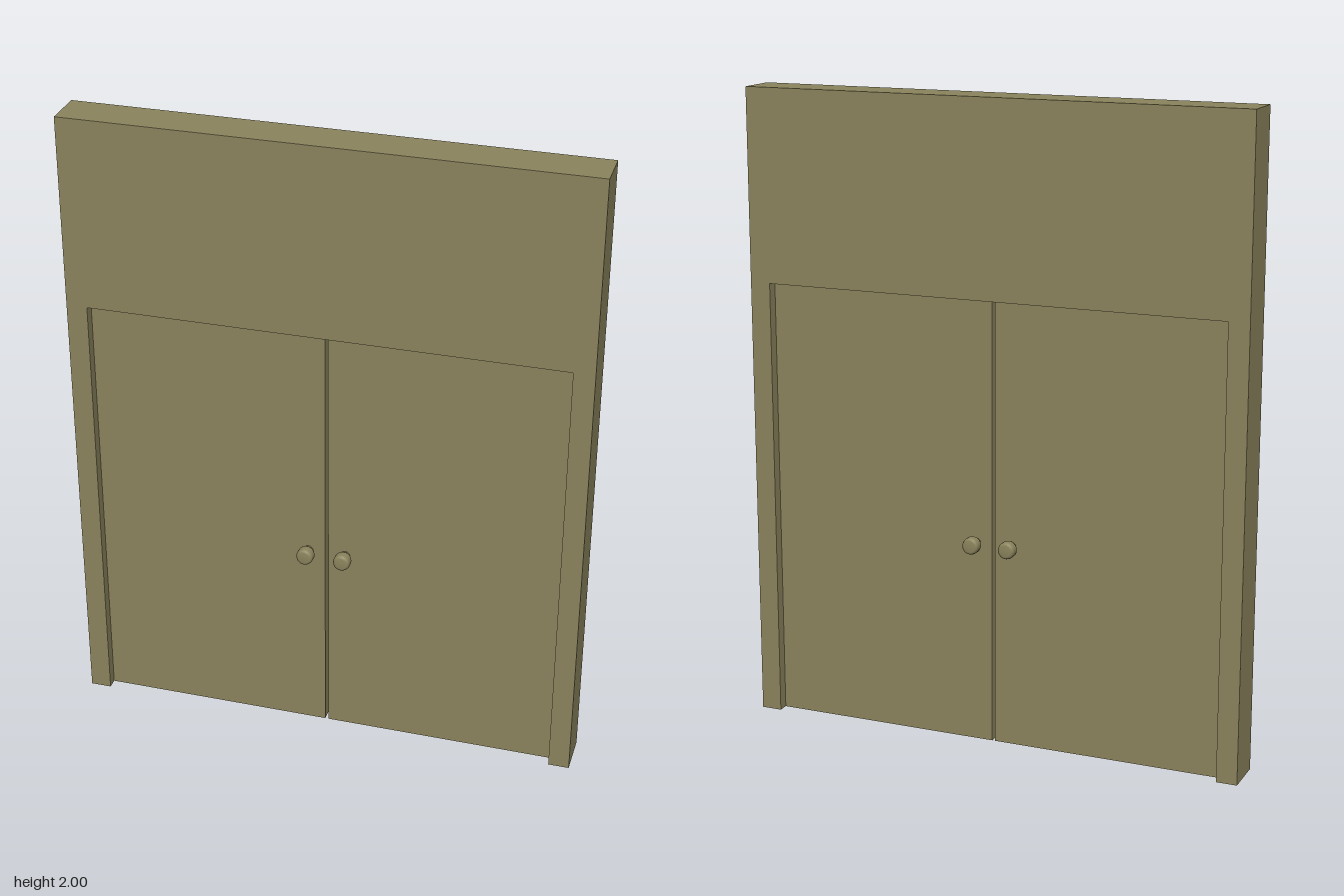
import * as THREE from 'three';

export function createModel() {
  const model = new THREE.Group();
  model.name = 'doubleDoor';
  const olive = new THREE.MeshStandardMaterial({ color: 0x8b845d });
  olive.name = 'olive';

  const wallDepth = 0.134, doorDepth = 0.067;
  const openW = 0.735, openH = 1.4, gap = 0.005;

  // Wall with a doorway open to the floor
  const outline = new THREE.Shape([
    [-0.8, 0], [-openW, 0], [-openW, openH], [openW, openH],
    [openW, 0], [0.8, 0], [0.8, 2], [-0.8, 2],
  ].map(([x, y]) => new THREE.Vector2(x, y)));
  const wallGeometry = new THREE.ExtrudeGeometry(outline, { depth: wallDepth, bevelEnabled: false });
  wallGeometry.translate(0, 0, -wallDepth / 2);
  const wall = new THREE.Mesh(wallGeometry, olive);
  wall.name = 'wall';
  model.add(wall);

  // Round knob with softened rims, axis along +z from the door face
  const profile = [
    [0.016, 0], [0.018, 0.012], [0.024, 0.016], [0.0265, 0.022],
    [0.0265, 0.041], [0.024, 0.048], [0.018, 0.051], [0, 0.051],
  ].map(([r, h]) => new THREE.Vector2(r, h));
  const knobGeometry = new THREE.LatheGeometry(profile, 20);
  knobGeometry.rotateX(Math.PI / 2);

  // Two leaves, each with a knob on both faces
  for (const side of [-1, 1]) {
    const name = side > 0 ? 'left' : 'right';
    const door = new THREE.Group();
    door.name = name + 'Door';
    const width = openW - gap;
    const leaf = new THREE.Mesh(new THREE.BoxGeometry(width, openH, doorDepth), olive);
    leaf.name = name + 'Leaf';
    leaf.position.set(side * (gap + width / 2), openH / 2, 0);
    door.add(leaf);
    for (const face of [-1, 1]) {
      const knob = new THREE.Mesh(knobGeometry, olive);
      knob.name = name + (face > 0 ? 'FrontKnob' : 'BackKnob');
      knob.position.set(side * 0.059, 0.64, face * doorDepth / 2);
      if (face < 0) knob.rotation.y = Math.PI;
      door.add(knob);
    }
    model.add(door);
  }
  return model;
}
